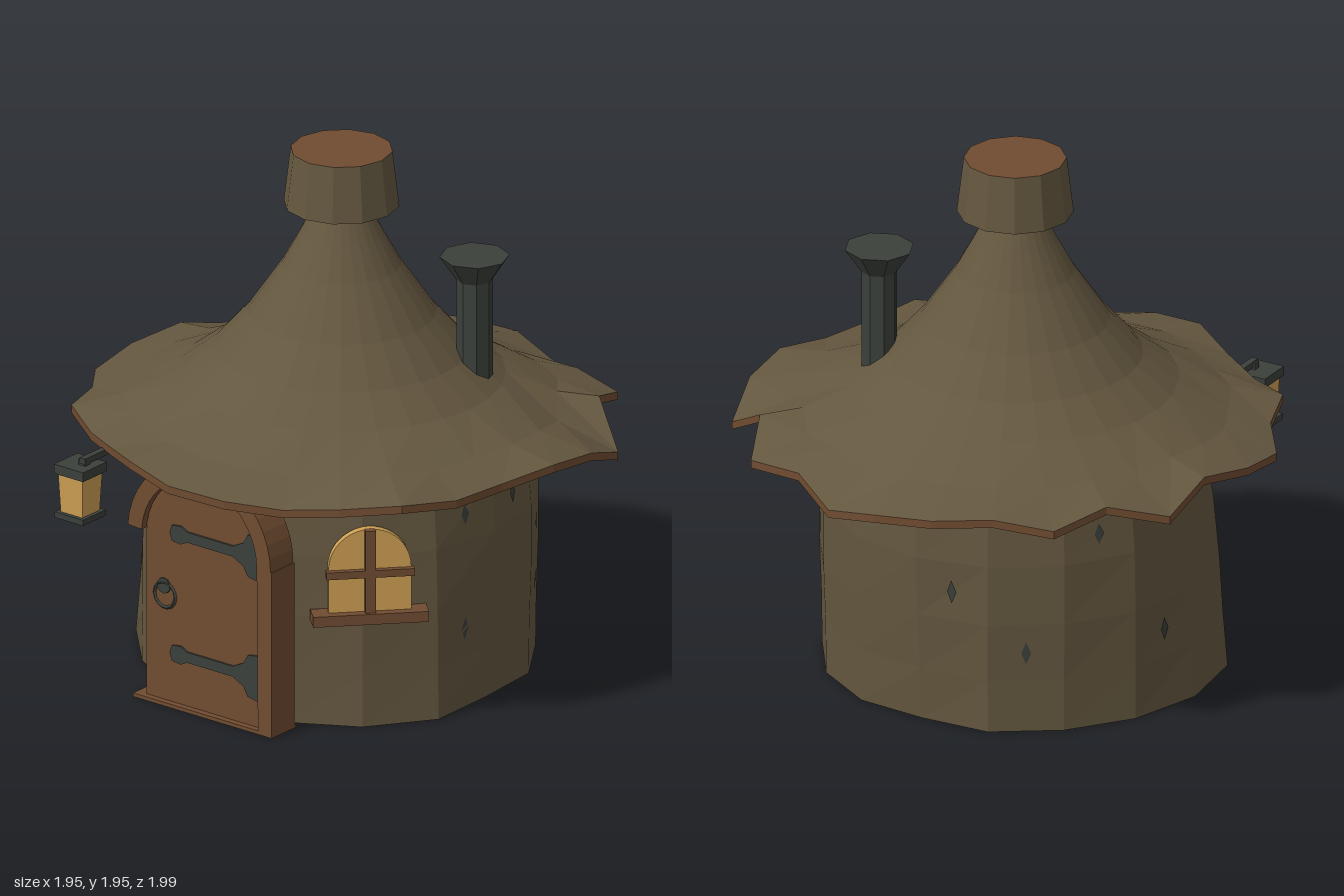
import * as THREE from 'three';

const mat = (name, color, side = THREE.FrontSide) => {
  const m = new THREE.MeshStandardMaterial({ color, side, flatShading: true });
  m.name = name;
  return m;
};

// Skin between closed rings of points, listed bottom to top
function loft(rings) {
  const n = rings[0].length, pos = rings.flat().flatMap(p => p.toArray()), idx = [];
  for (let i = 0; i < rings.length - 1; i++) {
    for (let j = 0; j < n; j++) {
      const a = i * n + j, b = i * n + (j + 1) % n;
      idx.push(a, b, b + n, a, b + n, a + n);
    }
  }
  const g = new THREE.BufferGeometry();
  g.setAttribute('position', new THREE.Float32BufferAttribute(pos, 3));
  g.setIndex(idx);
  g.computeVertexNormals();
  return g;
}

// Ring around the y axis; angle 0 faces the front, r and y are functions of the index
const ring = (n, r, y) => Array.from({ length: n }, (_, k) => {
  const a = k / n * Math.PI * 2;
  return new THREE.Vector3(Math.sin(a) * r(k), y(k), Math.cos(a) * r(k));
});

export function createModel() {
  const root = new THREE.Group();
  const bark = mat('bark', 0x64573f, THREE.DoubleSide);
  const wood = mat('wood', 0x704c31, THREE.DoubleSide);
  const iron = mat('iron', 0x3b403b, THREE.DoubleSide);
  const glow = mat('glowing glass', 0xcd9f52, THREE.DoubleSide);

  const add = (name, geo, material, x = 0, y = 0, z = 0, parent = root) => {
    const m = new THREE.Mesh(geo, material);
    m.name = name;
    m.position.set(x, y, z);
    parent.add(m);
    return m;
  };
  const box = (w, h, d) => new THREE.BoxGeometry(w, h, d);
  const slab = (shape, depth) => new THREE.ExtrudeGeometry(shape, { depth, bevelEnabled: false, curveSegments: 10 });

  // Bulging trunk wall with an uneven foot
  const foot = [.70, .70, .72, .73, .67, .70, .70, .69, .66, .70, .70, .72, .75, .77, .72, .71];
  const wallProfile = [[.70, 0], [.71, .2], [.718, .42], [.712, .65], [.695, .85], [.66, 1.02]];
  const wallRings = wallProfile.map(([r, y]) => {
    const w = Math.max(0, 1 - y / .75);
    return ring(16, k => r + (foot[k] - r) * w, () => y);
  });
  add('wall', loft(wallRings), bark);

  // Small dark knots lying on single wall facets: [column, row]
  const knots = [[3, 1], [3, 3], [4, 3], [5, 1], [5, 2], [8, 2], [9, 1], [10, 3], [11, 1], [6, 3]];
  for (const [c, r] of knots) {
    const [a, b, d, e] = [wallRings[r][c], wallRings[r][(c + 1) % 16], wallRings[r + 1][c], wallRings[r + 1][(c + 1) % 16]];
    const at = (u, v) => a.clone().lerp(b, u).lerp(d.clone().lerp(e, u), v).multiply(new THREE.Vector3(1.006, 1, 1.006));
    const g = new THREE.BufferGeometry().setFromPoints([at(.44, .5), at(.5, .3), at(.57, .5), at(.5, .7)]);
    g.setIndex([0, 1, 2, 0, 2, 3]);
    g.computeVertexNormals();
    add('knot', g, iron);
  }

  // Flared roof with a ragged, wavy eave
  const eaveR = [.99, .955, .915, .96, 1.01, .965, .935, .98, 1, 1.02, .925, 1.015, .935, .975,
    1, .985, .955, .995, .92, 1, .935, .97, .985, .92, .97, .92, .915, .965];
  const eaveY = [.925, .90, .88, .91, .935, .91, .92, .945, .92, .84, .965, .89, .91, .85,
    .90, .91, .92, .89, .93, .88, .95, .92, .89, .91, .925, .90, .92, .95];
  const lower = ring(28, k => eaveR[k], k => eaveY[k]);
  const upper = ring(28, k => eaveR[k], k => eaveY[k] + .03);
  const mid = ring(28, k => .78 + (eaveR[k] - .96) * .3, k => .995 + (eaveY[k] - .91) * .35);
  const slope = [[.59, 1.09], [.46, 1.19], [.34, 1.325], [.215, 1.51], [.15, 1.63], [.085, 1.76]];
  add('roof', loft([upper, mid, ...slope.map(([r, y]) => ring(28, () => r, () => y))]), bark);
  add('eaveAndUnderside', loft([ring(28, () => .62, () => 1.01), lower, upper]), wood);

  // Cut stump on the peak
  add('peakStump', new THREE.CylinderGeometry(.185, .21, .21, 12, 1, true), bark, 0, 1.845, 0);
  add('stumpTop', new THREE.CircleGeometry(.185, 12).rotateX(-Math.PI / 2).rotateY(Math.PI / 2), wood, 0, 1.95, 0);

  // Stove pipe
  add('chimneyPipe', new THREE.CylinderGeometry(.066, .066, .44, 8), iron, .44, 1.28, -.215);
  add('chimneyFlare', new THREE.CylinderGeometry(.127, .066, .09, 8), iron, .44, 1.535, -.215);

  // Arched door
  const arch = (half, spring, base) => {
    const s = new THREE.Shape();
    s.moveTo(-half, base);
    s.lineTo(half, base);
    s.lineTo(half, spring);
    s.absarc(0, spring, half, 0, Math.PI, false);
    s.closePath();
    return s;
  };
  const door = new THREE.Group();
  door.name = 'door';
  root.add(door);
  add('doorPanel', slab(arch(.268, .64, 0), .12), wood, -.005, 0, .655, door);

  // Frame runs to the ground on one side only
  const f = new THREE.Shape();
  f.moveTo(.262, 0);
  f.lineTo(.325, 0);
  f.lineTo(.325, .64);
  f.absarc(-.01, .64, .33, 0, Math.PI * .98, false);
  f.absarc(-.01, .64, .266, Math.PI * .98, 0, true);
  f.closePath();
  add('doorFrame', slab(f, .13), wood, 0, 0, .67, door);
  add('threshold', box(.64, .014, .14), wood, .005, .007, .73, door);

  // Strap hinges
  const h = new THREE.Shape();
  const half = [[-.16, 0], [-.15, .03], [-.11, .035], [-.08, .02], [.13, .02], [.18, .045], [.2, .08], [.255, .09]];
  half.forEach(([x, y], i) => (i ? h.lineTo(x, y) : h.moveTo(x, y)));
  [...half].reverse().forEach(([x, y]) => h.lineTo(x, -y));
  for (const y of [.205, .67]) add('hinge', slab(h, .008), iron, 0, y, .775, door);

  // Ring handle
  add('handlePlate', new THREE.CylinderGeometry(.03, .03, .008, 10).rotateX(Math.PI / 2), iron, -.19, .455, .778, door);
  add('handleRing', new THREE.TorusGeometry(.048, .007, 4, 14), iron, -.185, .42, .778, door);

  // Glowing arched window, set at an angle
  const win = new THREE.Group();
  win.name = 'window';
  win.rotation.y = THREE.MathUtils.degToRad(47);
  root.add(win);
  add('windowGlass', slab(arch(.15, .62, .44), .03), glow, 0, 0, .702, win);
  add('mullion', box(.038, .33, .03), wood, 0, .605, .738, win);
  add('crossbar', box(.32, .028, .03), wood, 0, .603, .738, win);
  add('windowSill', box(.42, .04, .08), wood, 0, .433, .725, win);

  // Hanging lantern
  const lantern = new THREE.Group();
  lantern.name = 'lantern';
  lantern.position.set(-.49, 0, .885);
  root.add(lantern);
  const quarter = Math.PI / 4;
  add('lanternGlass', new THREE.CylinderGeometry(.08, .07, .16, 4).rotateY(quarter), glow, 0, .775, 0, lantern);
  add('lanternBase', box(.13, .022, .13), iron, 0, .69, 0, lantern);
  add('lanternCap', box(.135, .036, .135), iron, 0, .868, 0, lantern);
  add('lanternHook', box(.03, .03, .03), iron, .02, .895, 0, lantern);
  add('lanternArm', box(.026, .022, .34), iron, .025, .905, -.15, lantern);

  return root;
}
